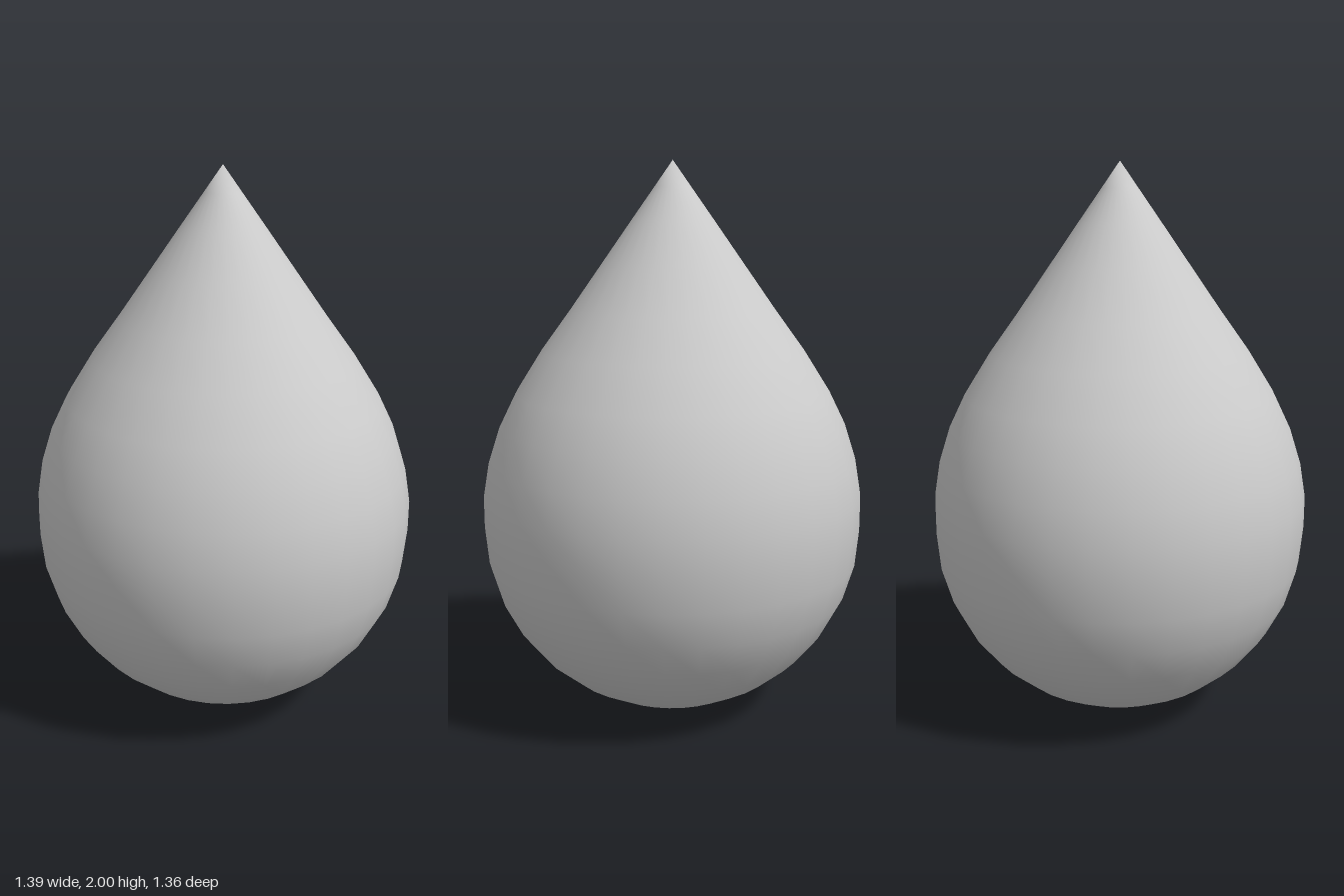
import * as THREE from 'three';
import { mergeVertices } from 'three/addons/utils/BufferGeometryUtils.js';

const SEGMENTS = 32;
const RADIUS = 0.693;

export function createModel() {
  const group = new THREE.Group();
  group.name = 'teardrop';

  // Round underside: a quarter circle
  const profile = [];
  for (let i = 0; i <= 8; i++) {
    const a = (i / 8) * Math.PI / 2;
    profile.push(new THREE.Vector2(RADIUS * Math.sin(a), RADIUS * (1 - Math.cos(a))));
  }
  // Shoulder easing into a straight cone with a pointed tip
  const upper = [
    [0.693, 0.806], [0.672, 0.93], [0.63, 1.06], [0.571, 1.18], [0.476, 1.33],
    [0.37, 1.475], [0.254, 1.64], [0.15, 1.788], [0.065, 1.908], [0, 2],
  ];
  upper.forEach(([r, y]) => profile.push(new THREE.Vector2(r, y)));

  // Weld seam and poles so the shading is smooth all over
  let geometry = new THREE.LatheGeometry(profile, SEGMENTS);
  geometry.deleteAttribute('uv');
  geometry.deleteAttribute('normal');
  geometry = mergeVertices(geometry, 1e-4);
  // Slightly narrower from front to back
  geometry.scale(1.003, 1, 0.982);
  geometry.computeVertexNormals();

  const drop = new THREE.Mesh(geometry, new THREE.MeshStandardMaterial({ color: 0xcccccc }));
  drop.name = 'dropBody';
  group.add(drop);
  return group;
}
